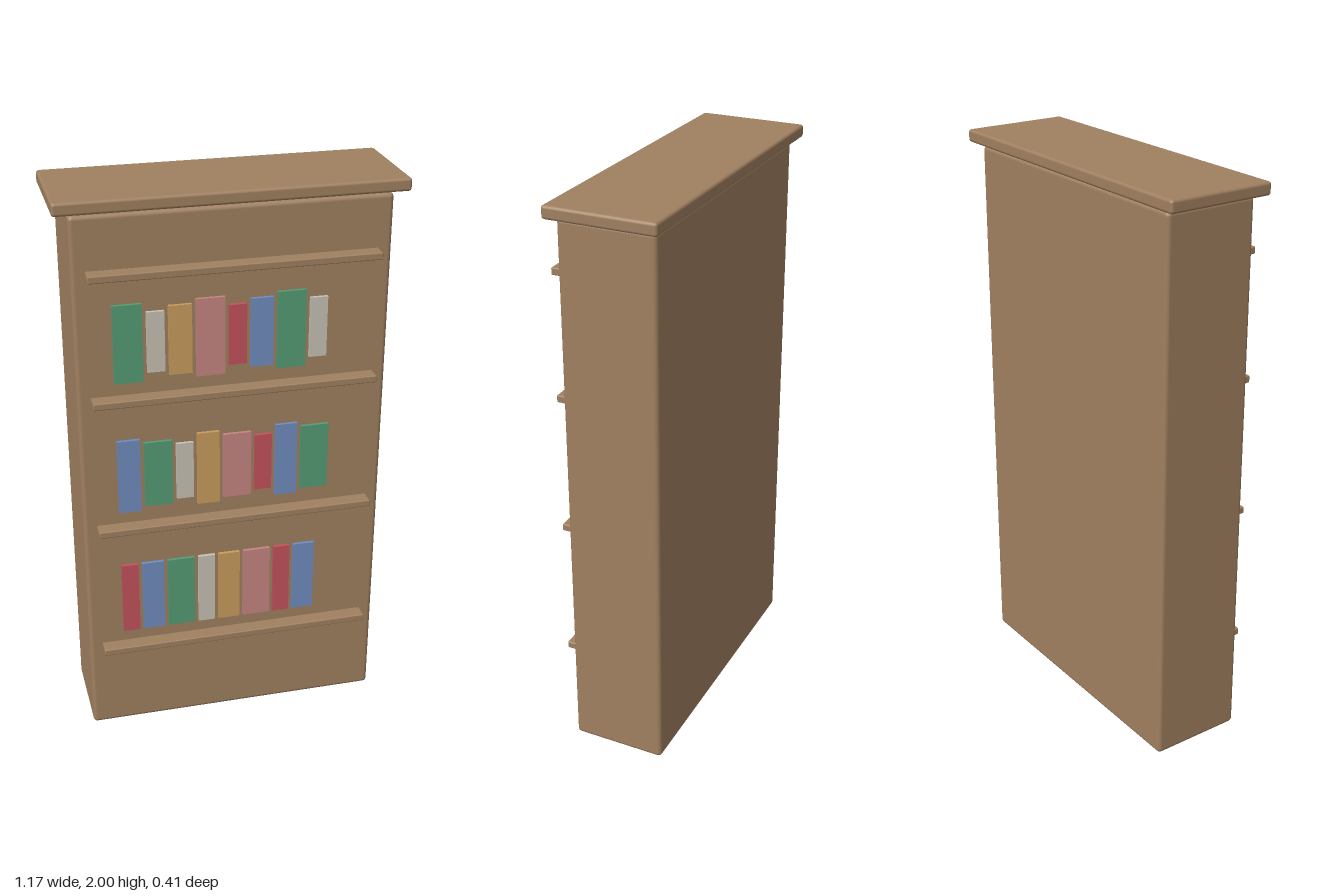
import * as THREE from 'three';
import { RoundedBoxGeometry } from 'three/addons/geometries/RoundedBoxGeometry.js';

const material = (name, color) => {
  const m = new THREE.MeshStandardMaterial({ color });
  m.name = name;
  return m;
};

export function createModel() {
  const model = new THREE.Group();
  model.name = 'bookcase';

  const wood = material('wood', 0xa08060);
  const red = { mat: material('red', 0xc4525c), width: 0.06 };
  const blue = { mat: material('blue', 0x708cbe), width: 0.078 };
  const green = { mat: material('green', 0x549c74), width: 0.098 };
  const cream = { mat: material('cream', 0xc8c2b4), width: 0.06 };
  const ochre = { mat: material('ochre', 0xc89c5c), width: 0.078 };
  const pink = { mat: material('pink', 0xc68480), width: 0.098 };

  // Box given by its lower and upper corners, with softened edges where radius > 0
  const addBox = (parent, name, mat, [x0, y0, z0], [x1, y1, z1], radius = 0) => {
    const size = [x1 - x0, y1 - y0, z1 - z0];
    const geometry = radius
      ? new RoundedBoxGeometry(...size, 2, radius)
      : new THREE.BoxGeometry(...size);
    const mesh = new THREE.Mesh(geometry, mat);
    mesh.name = name;
    mesh.position.set((x0 + x1) / 2, (y0 + y1) / 2, (z0 + z1) / 2);
    parent.add(mesh);
  };

  // Cabinet and overhanging top board
  const front = 0.156;
  addBox(model, 'cabinet', wood, [-0.532, 0, -0.18], [0.532, 1.949, front], 0.015);
  addBox(model, 'topBoard', wood, [-0.583, 1.956, -0.207], [0.583, 2, 0.177], 0.01);
  addBox(model, 'topJoint', wood, [-0.51, 1.94, -0.16], [0.51, 1.96, 0.135]);

  // Shelf ledges
  for (const y of [0.341, 0.83, 1.316, 1.755]) {
    addBox(model, 'shelf', wood, [-0.486, y - 0.0125, front - 0.01], [0.486, y + 0.0125, 0.207], 0.004);
  }

  // Rows of books; heights repeat along each row
  const rows = [
    { y: 0.536, heights: [0.273], books: [red, blue, green, cream, ochre, pink, red, blue] },
    { y: 1.025, heights: [0.273, 0.243, 0.212], books: [blue, green, cream, ochre, pink, red, blue, green] },
    { y: 1.511, heights: [0.273, 0.212, 0.243], books: [green, cream, ochre, pink, red, blue, green, cream] },
  ];
  for (const { y, heights, books } of rows) {
    const row = new THREE.Group();
    row.name = 'bookRow';
    let x = -0.408;
    books.forEach(({ mat, width }, i) => {
      const half = heights[i % heights.length] / 2;
      addBox(row, 'book', mat, [x, y - half, front - 0.005], [x + width, y + half, 0.168]);
      x += width + 0.0133;
    });
    model.add(row);
  }

  return model;
}
